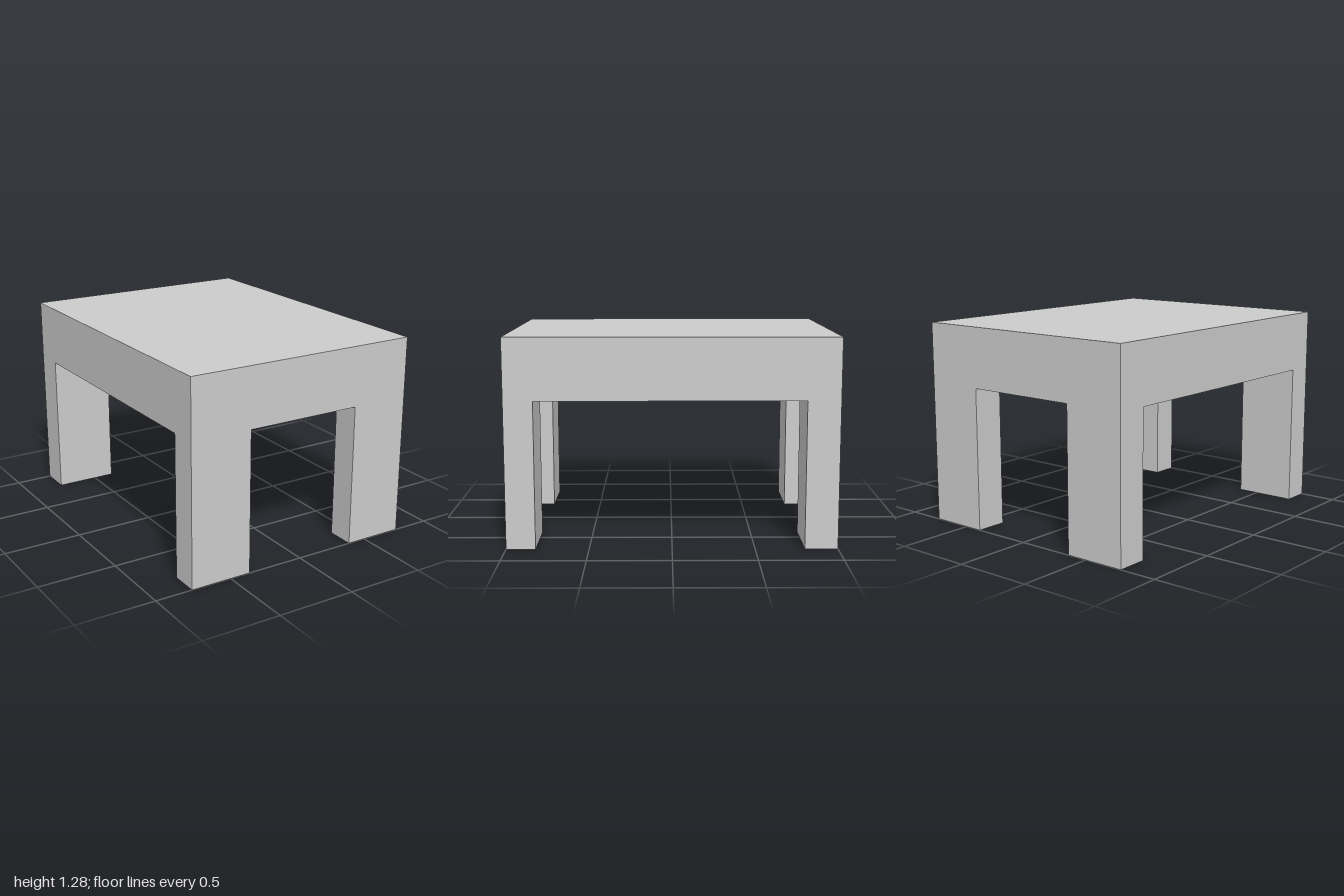
import * as THREE from 'three';

const material = new THREE.MeshStandardMaterial({ color: 0xcccccc, flatShading: true });

// Box spanning two opposite corners
function box(name, [x0, y0, z0], [x1, y1, z1]) {
  const mesh = new THREE.Mesh(new THREE.BoxGeometry(x1 - x0, y1 - y0, z1 - z0), material);
  mesh.position.set((x0 + x1) / 2, (y0 + y1) / 2, (z0 + z1) / 2);
  mesh.name = name;
  return mesh;
}

export function createModel() {
  const group = new THREE.Group();
  group.name = 'table';
  const W = 0.762, D = 1, legTop = 0.9, top = 1.278;

  // Thick table top
  group.add(box('tableTop', [-W, legTop, -D], [W, top, D]));

  // Legs flush with the corners; right and back ones are slightly thicker
  const columns = [['Left', 0.38, W], ['Right', -W, -0.367]];
  const rows = [['front', 0.822, D], ['back', -D, -0.8]];
  for (const [side, x0, x1] of columns) {
    for (const [end, z0, z1] of rows) {
      group.add(box(`${end}${side}Leg`, [x0, 0, z0], [x1, legTop, z1]));
    }
  }
  return group;
}
